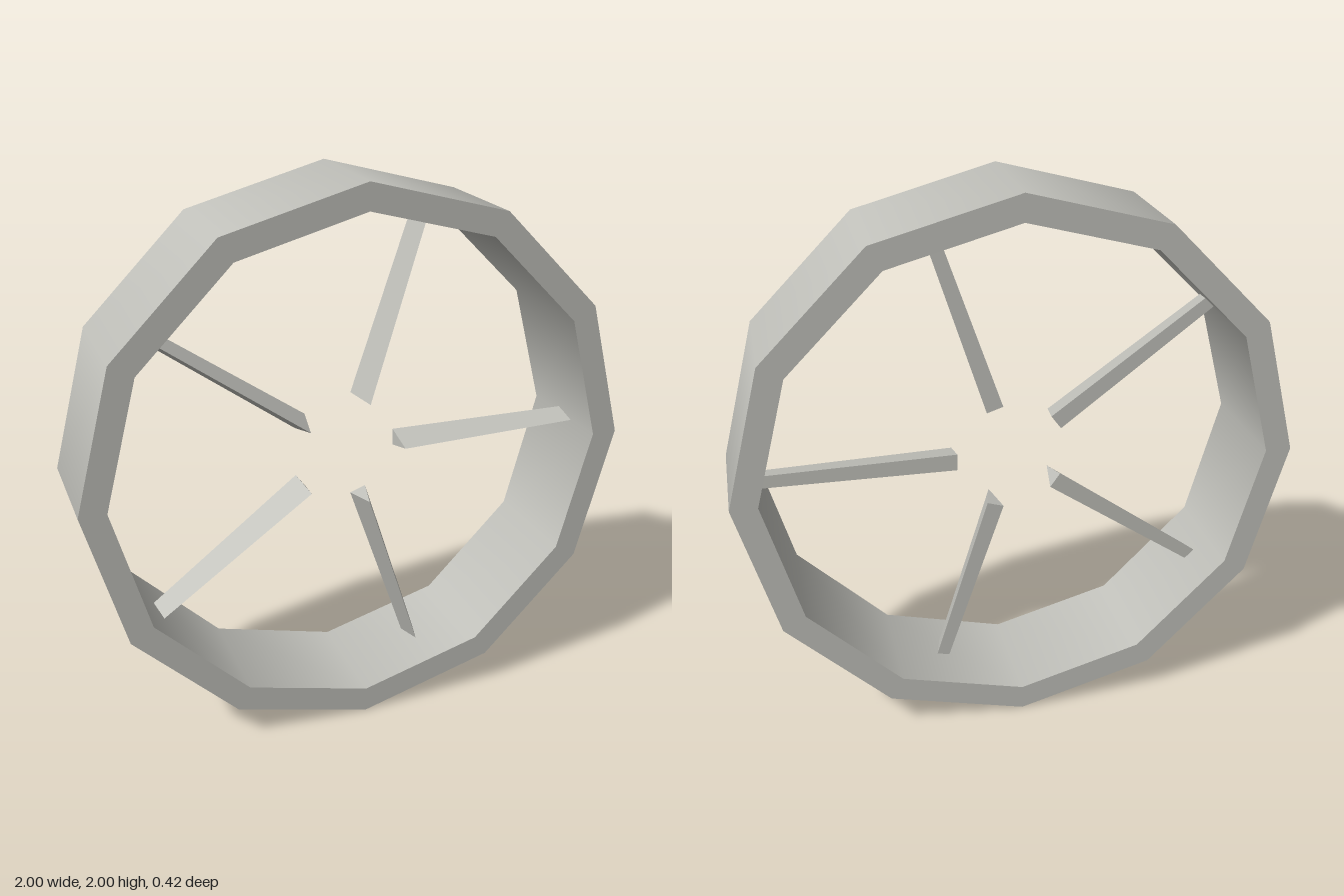
import * as THREE from 'three';
import { mergeGeometries } from 'three/addons/utils/BufferGeometryUtils.js';

const SIDES = 12, OUTER = 1, INNER = 0.905, HALF_DEPTH = 0.21;
const SPOKES = 5, HUB = 0.2, SPOKE_LENGTH = 0.7;

// Rim: each side of the rectangular profile is its own lathe, so corners stay sharp
function rimGeometry() {
  const profile = [
    [OUTER, -HALF_DEPTH], [OUTER, HALF_DEPTH], [INNER, HALF_DEPTH], [INNER, -HALF_DEPTH],
  ].map(([r, y]) => new THREE.Vector2(r, y));
  const bands = profile.map((p, i) =>
    new THREE.LatheGeometry([p, profile[(i + 1) % profile.length]], SIDES));
  return mergeGeometries(bands).rotateX(Math.PI / 2);
}

// Spoke: tapered, narrow triangular bar with its ridge towards the front
function spokeGeometry() {
  const bar = new THREE.CylinderGeometry(0.06, 0.08, SPOKE_LENGTH, 3).toNonIndexed();
  bar.scale(0.45, 1, 1).translate(0, HUB + SPOKE_LENGTH / 2, 0);
  bar.computeVertexNormals();
  return bar;
}

export function createModel() {
  const metal = new THREE.MeshStandardMaterial({ color: 0xc0c0ba });
  metal.name = 'paleMetal';

  const wheel = new THREE.Group();
  wheel.name = 'wheel';
  wheel.position.y = 1;

  const rim = new THREE.Mesh(rimGeometry(), metal);
  rim.name = 'rim';
  wheel.add(rim);

  // Five spokes, the first pointing along +x
  const spokeShape = spokeGeometry();
  for (let i = 0; i < SPOKES; i++) {
    const spoke = new THREE.Mesh(spokeShape, metal);
    spoke.name = `spoke${i + 1}`;
    spoke.rotation.z = (i / SPOKES) * Math.PI * 2 - Math.PI / 2;
    wheel.add(spoke);
  }

  const model = new THREE.Group();
  model.name = 'spokedWheel';
  model.add(wheel);
  return model;
}
